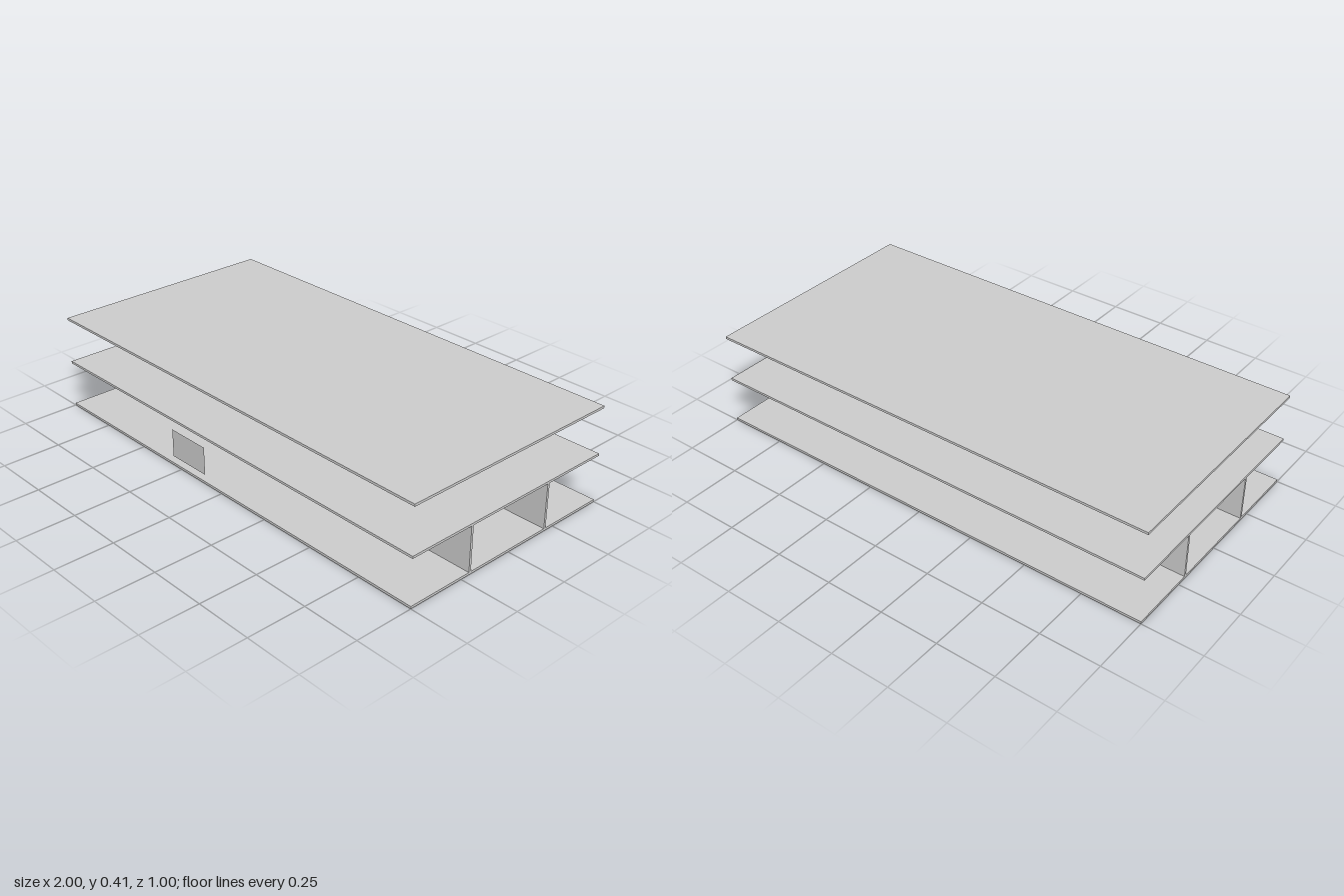
import * as THREE from 'three';

const material = new THREE.MeshStandardMaterial({ color: 0xcccccc });
const thinMaterial = new THREE.MeshStandardMaterial({ color: 0xcccccc, side: THREE.DoubleSide });

// Box given by its lower and upper bounds on each axis
function block(name, [x0, x1], [y0, y1], [z0, z1]) {
  const mesh = new THREE.Mesh(new THREE.BoxGeometry(x1 - x0, y1 - y0, z1 - z0), material);
  mesh.name = name;
  mesh.position.set((x0 + x1) / 2, (y0 + y1) / 2, (z0 + z1) / 2);
  return mesh;
}

export function createModel() {
  const model = new THREE.Group();
  model.name = 'pavilion';

  // Three equal slabs: floor, ceiling and raised roof
  const slabs = { floorSlab: 0, ceilingSlab: 0.2, roofSlab: 0.4 };
  for (const [name, y] of Object.entries(slabs)) {
    model.add(block(name, [-1, 1], [y, y + 0.01], [-0.5, 0.5]));
  }

  // Long walls; the front one leaves a doorway in the middle
  const wallHeight = [0.01, 0.2];
  model.add(block('backWall', [-1, 1], wallHeight, [-0.21, -0.2]));
  model.add(block('frontWallRight', [-1, -0.1], wallHeight, [0.2, 0.21]));
  model.add(block('frontWallLeft', [0.1, 1], wallHeight, [0.2, 0.21]));

  // Thin free-standing window pane at the front edge
  const pane = new THREE.Mesh(new THREE.PlaneGeometry(0.2, 0.12), thinMaterial);
  pane.name = 'windowPane';
  pane.position.set(-0.2, 0.1, 0.499);
  model.add(pane);

  // Furniture between the walls
  model.add(block('bed', [-0.6, -0.4], [0.01, 0.06], [-0.15, 0]));
  model.add(block('shelf', [0.4, 0.6], [0.105, 0.112], [-0.2, -0.15]));
  model.add(block('shelfBackPanel', [0.4, 0.6], [0.01, 0.12], [-0.2, -0.197]));

  return model;
}
